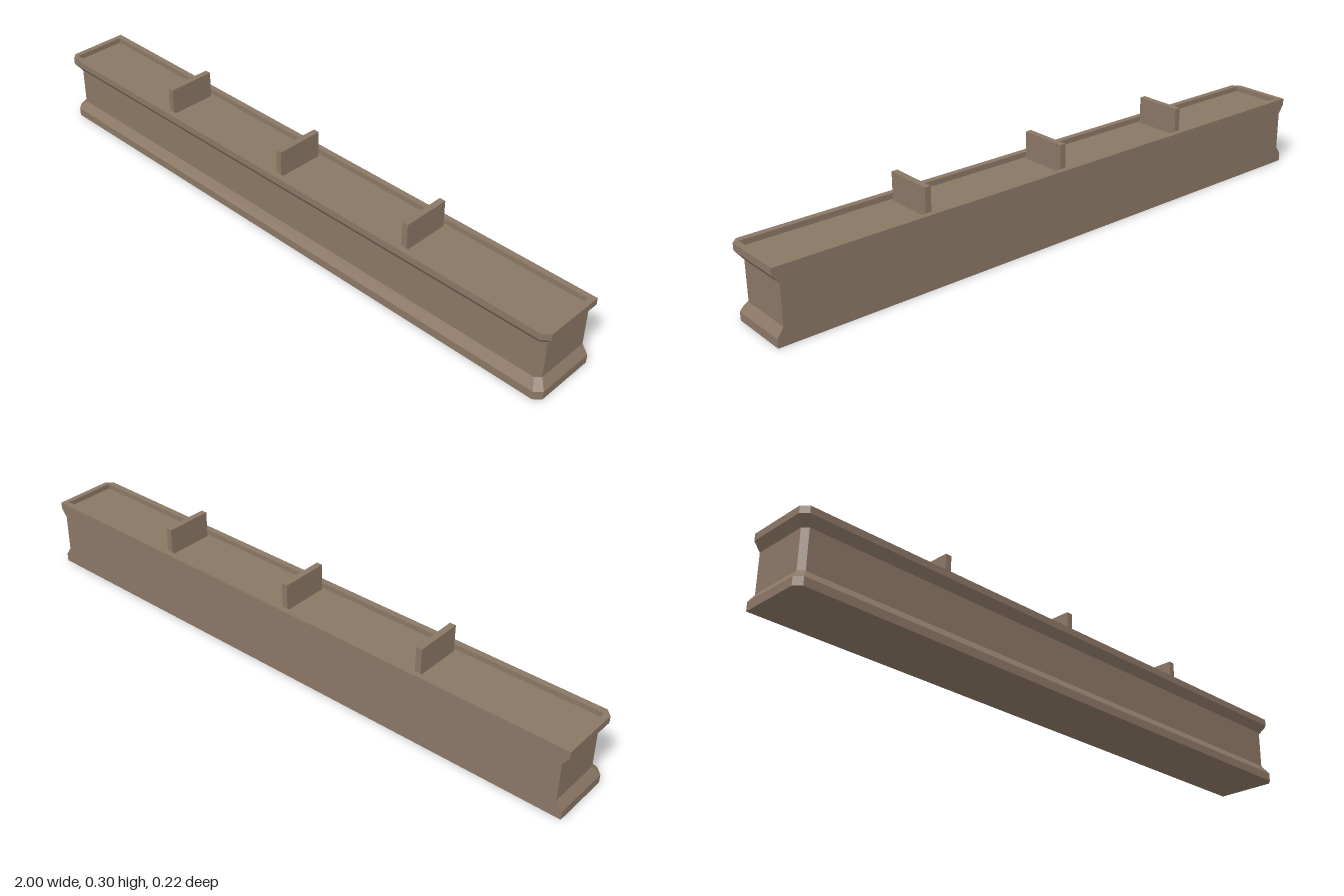
import * as THREE from 'three';

const BACK = -0.108;

// Plan outline with a flat back and two chamfered front corners, counter-clockwise from above
function outline(y, halfX, front, chamfer, back = BACK) {
  return [
    [-halfX, y, back],
    [-halfX, y, front - chamfer],
    [-halfX + chamfer, y, front],
    [halfX - chamfer, y, front],
    [halfX, y, front - chamfer],
    [halfX, y, back],
  ];
}

// Joins successive outlines into faceted walls and closes both ends
function skin(rings) {
  const pos = [];
  const tri = (...pts) => pts.forEach((p) => pos.push(...p));
  for (let r = 0; r < rings.length - 1; r++) {
    const a = rings[r], b = rings[r + 1], n = a.length;
    for (let i = 0; i < n; i++) {
      const j = (i + 1) % n;
      tri(a[i], a[j], b[j]);
      tri(a[i], b[j], b[i]);
    }
  }
  const bottom = rings[0], top = rings[rings.length - 1];
  for (let i = 1; i < bottom.length - 1; i++) {
    tri(bottom[0], bottom[i + 1], bottom[i]);
    tri(top[0], top[i], top[i + 1]);
  }
  const geo = new THREE.BufferGeometry();
  geo.setAttribute('position', new THREE.Float32BufferAttribute(pos, 3));
  geo.computeVertexNormals();
  return geo;
}

export function createModel() {
  const group = new THREE.Group();
  const material = new THREE.MeshStandardMaterial({ color: 0x8b7765, flatShading: true });

  // Counter: plinth, waist, flared cornice, then rim and sunken top
  const counter = new THREE.Mesh(skin([
    outline(0, 1, 0.109, 0.02),
    outline(0.027, 1, 0.109, 0.02),
    outline(0.056, 0.98, 0.089, 0.016),
    outline(0.18, 0.98, 0.089, 0.016),
    outline(0.207, 1, 0.109, 0.02),
    outline(0.229, 1, 0.109, 0.02),
    outline(0.229, 0.982, 0.089, 0, -0.089),
    outline(0.212, 0.982, 0.089, 0, -0.089),
  ]), material);
  counter.name = 'counter';
  group.add(counter);

  // Upright dividers standing on the sunken top
  for (const x of [-0.495, 0, 0.495]) {
    const divider = new THREE.Mesh(new THREE.BoxGeometry(0.02, 0.088, 0.158), material);
    divider.position.set(x, 0.256, 0.001);
    divider.name = 'divider';
    group.add(divider);
  }
  return group;
}
